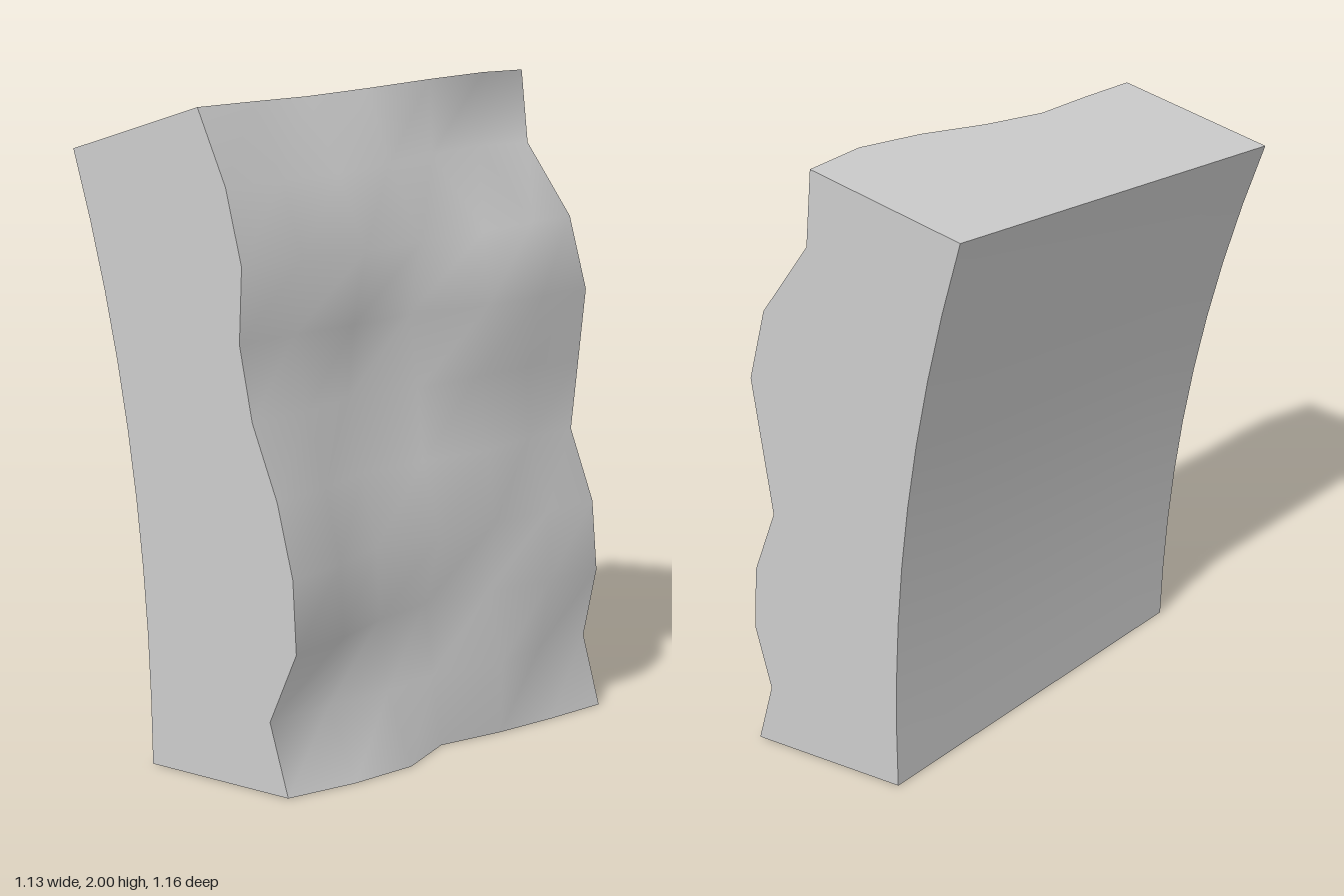
import * as THREE from 'three';

const COLS = 6, ROWS = 9;

// Outward reach (x, in hundredths) of the rough face: rows from the ground up, columns front to rear
const RELIEF = [
  [15, 25, 32, 31, 41, 49, 56],
  [9, 16, 24, 28, 41, 44, 50],
  [18, 21, 21, 25, 36, 47, 54],
  [17, 20, 20, 30, 38, 46, 52],
  [12, 15, 15, 24, 35, 39, 44],
  [4, 9, 10, 22, 31, 38, 46],
  [0, 5, 12, 19, 35, 43, 48],
  [1, 8, 16, 23, 33, 39, 42],
  [-4, 1, 7, 12, 15, 20, 27],
  [-13, -8, -3.5, 4.5, 14, 21.5, 24.5],
];

// Height of the sloping top plane
const topY = (x) => 1.78 + 0.27 * (x + 0.57);

// Point in the slab: column, row, and w from the curved back (0) to the rough face (1)
function slabPoint(c, r, w) {
  const t = r / ROWS;
  const backTop = -0.57 + 0.39 * c / COLS;
  const backX = backTop + 0.24 * (1 - t ** 2.2);
  const faceX = RELIEF[r][c] / 100;
  const backY = t * topY(backTop);
  const faceY = t * topY(RELIEF[ROWS][c] / 100);
  return [
    THREE.MathUtils.lerp(backX, faceX, w),
    THREE.MathUtils.lerp(backY, faceY, w),
    0.58 - 1.16 * c / COLS,
  ];
}

// Smooth sheet over an nu by nv grid; its front is along (du x dv)
function sheet(nu, nv, point, flip = false) {
  const positions = [], index = [];
  for (let v = 0; v <= nv; v++)
    for (let u = 0; u <= nu; u++) positions.push(...point(u, v));
  for (let v = 0; v < nv; v++)
    for (let u = 0; u < nu; u++) {
      const a = v * (nu + 1) + u, b = a + 1, d = a + nu + 1, e = d + 1;
      if (flip) index.push(a, e, b, a, d, e);
      else index.push(a, b, e, a, e, d);
    }
  const geometry = new THREE.BufferGeometry();
  geometry.setAttribute('position', new THREE.Float32BufferAttribute(positions, 3));
  geometry.setIndex(index);
  geometry.computeVertexNormals();
  return geometry;
}

export function createModel() {
  const model = new THREE.Group();
  model.name = 'rockSlab';
  const stone = new THREE.MeshStandardMaterial({ color: 0xcccccc });
  stone.name = 'stone grey';

  const add = (name, geometry) => {
    const mesh = new THREE.Mesh(geometry, stone);
    mesh.name = name;
    model.add(mesh);
  };

  // Rough face and the smooth curved back
  add('roughFace', sheet(COLS, ROWS, (c, r) => slabPoint(c, r, 1)));
  add('curvedBack', sheet(COLS, ROWS, (c, r) => slabPoint(c, r, 0), true));

  // Flat cut ends
  add('frontEnd', sheet(1, ROWS, (w, r) => slabPoint(0, r, w)));
  add('rearEnd', sheet(1, ROWS, (w, r) => slabPoint(COLS, r, w), true));

  // Sloping top and flat base
  add('top', sheet(1, COLS, (w, c) => slabPoint(c, ROWS, w)));
  add('base', sheet(1, COLS, (w, c) => slabPoint(c, 0, w), true));

  return model;
}
